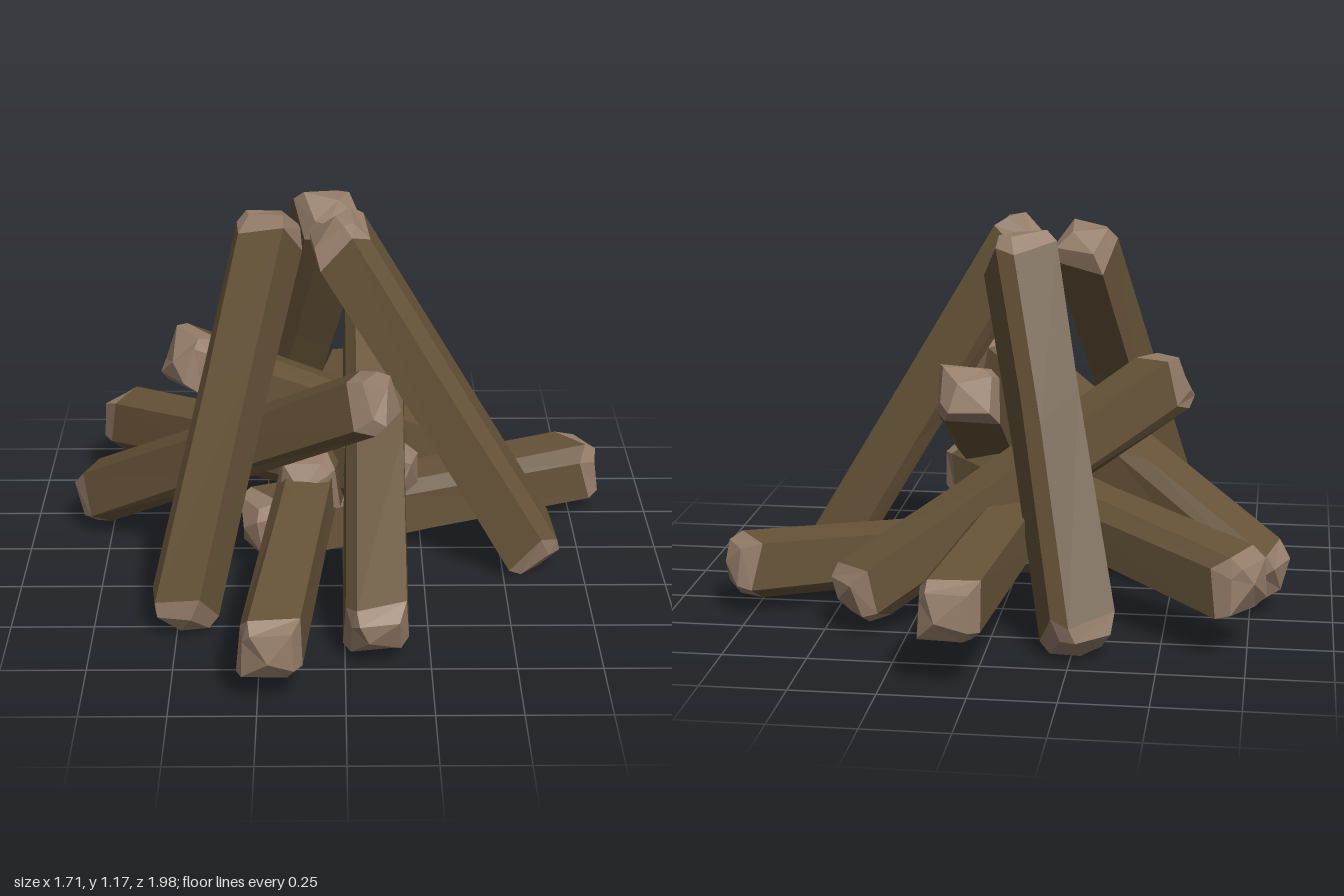
import * as THREE from 'three';

const bark = new THREE.MeshStandardMaterial({ color: 0x665338, flatShading: true });
bark.name = 'bark brown';
const wood = new THREE.MeshStandardMaterial({ color: 0x957d69, flatShading: true });
wood.name = 'cut wood';

// Hewn log section: a square with two bevelled corners
const SECTION = [[0.095, -0.085], [0.09, 0.05], [0.055, 0.092], [-0.088, 0.088], [-0.095, -0.05], [-0.06, -0.092]];
const N = SECTION.length;

// Each log runs from its outer end to its inner (or upper) end
const LOGS = [
  ['uprightLog', [0.615, 0.075, 0.11], [-0.04, 1.18, 0.1]],
  ['uprightLog', [-0.49, 0.075, 0.53], [-0.21, 1.17, -0.01]],
  ['uprightLog', [-0.28, 0.075, -0.65], [-0.03, 1.17, -0.11]],
  ['leaningLog', [0.09, 0.13, 0.74], [0.1, 0.75, -0.32]],
  ['leaningLog', [-0.82, 0.14, -0.2], [0.12, 0.73, 0.35]],
  ['leaningLog', [0.43, 0.14, -0.51], [-0.51, 0.74, 0.04]],
  ['lowLog', [0.07, 0.26, -0.975], [-0.12, 0.38, 0.24]],
  ['lowLog', [0.82, 0.18, -0.35], [-0.3, 0.19, 0.12]],
  ['lowLog', [-0.22, 0.21, 0.97], [-0.06, 0.38, -0.26]],
  ['lowLog', [-0.76, 0.25, -0.58], [0.19, 0.4, 0.18]],
];

function seeded(seed) {
  return () => {
    seed = (seed * 16807) % 2147483647;
    return seed / 2147483647 - 0.5;
  };
}

function facets(triangles, material, name) {
  const geometry = new THREE.BufferGeometry().setFromPoints(triangles);
  geometry.computeVertexNormals();
  const mesh = new THREE.Mesh(geometry, material);
  mesh.name = name;
  return mesh;
}

function makeLog(name, from, to, seed) {
  const rand = seeded(seed * 7919 + 17);
  const a = new THREE.Vector3(...from);
  const dir = new THREE.Vector3(...to).sub(a);
  const length = dir.length();
  dir.normalize();
  const side = new THREE.Vector3(0, 1, 0).cross(dir).normalize();
  const up = dir.clone().cross(side);
  const at = (x, y, t) => a.clone().addScaledVector(side, x).addScaledVector(up, y).addScaledVector(dir, t);

  // Ring of corners; zigzag staggers the edge between bark and cut wood
  const ring = (t, scale, zigzag) => SECTION.map(([x, y], i) =>
    at(x * scale + rand() * 0.008, y * scale + rand() * 0.008, t + (i % 2 ? zigzag : -zigzag)));
  const rings = [
    ring(0.012, 0.8, 0.008),
    ring(0.065, 1.0, 0.02),
    ring(length * (0.5 + rand() * 0.2), 0.96, 0.05),
    ring(length - 0.065, 1.0, 0.02),
    ring(length - 0.012, 0.8, 0.008),
  ];
  const band = (k) => {
    const out = [];
    for (let i = 0; i < N; i++) {
      const j = (i + 1) % N;
      const [p, q, r, s] = [rings[k][i], rings[k][j], rings[k + 1][j], rings[k + 1][i]];
      out.push(p, q, r, p, r, s);
    }
    return out;
  };
  // Blunt off-centre point closing each end
  const tip = (corners, t, flip) => {
    const apex = at(rand() * 0.06, rand() * 0.06, t);
    return corners.flatMap((p, i) => {
      const q = corners[(i + 1) % N];
      return flip ? [apex, q, p] : [apex, p, q];
    });
  };

  const log = new THREE.Group();
  log.name = name;
  log.add(
    facets([...band(1), ...band(2)], bark, 'barkSides'),
    facets([...tip(rings[0], -0.02, true), ...band(0)], wood, 'outerCutEnd'),
    facets([...band(3), ...tip(rings[4], length + 0.02, false)], wood, 'innerCutEnd'),
  );
  return log;
}

export function createModel() {
  const pile = new THREE.Group();
  pile.name = 'firewoodPile';
  LOGS.forEach(([name, from, to], i) => pile.add(makeLog(name + (i + 1), from, to, i + 1)));
  return pile;
}
